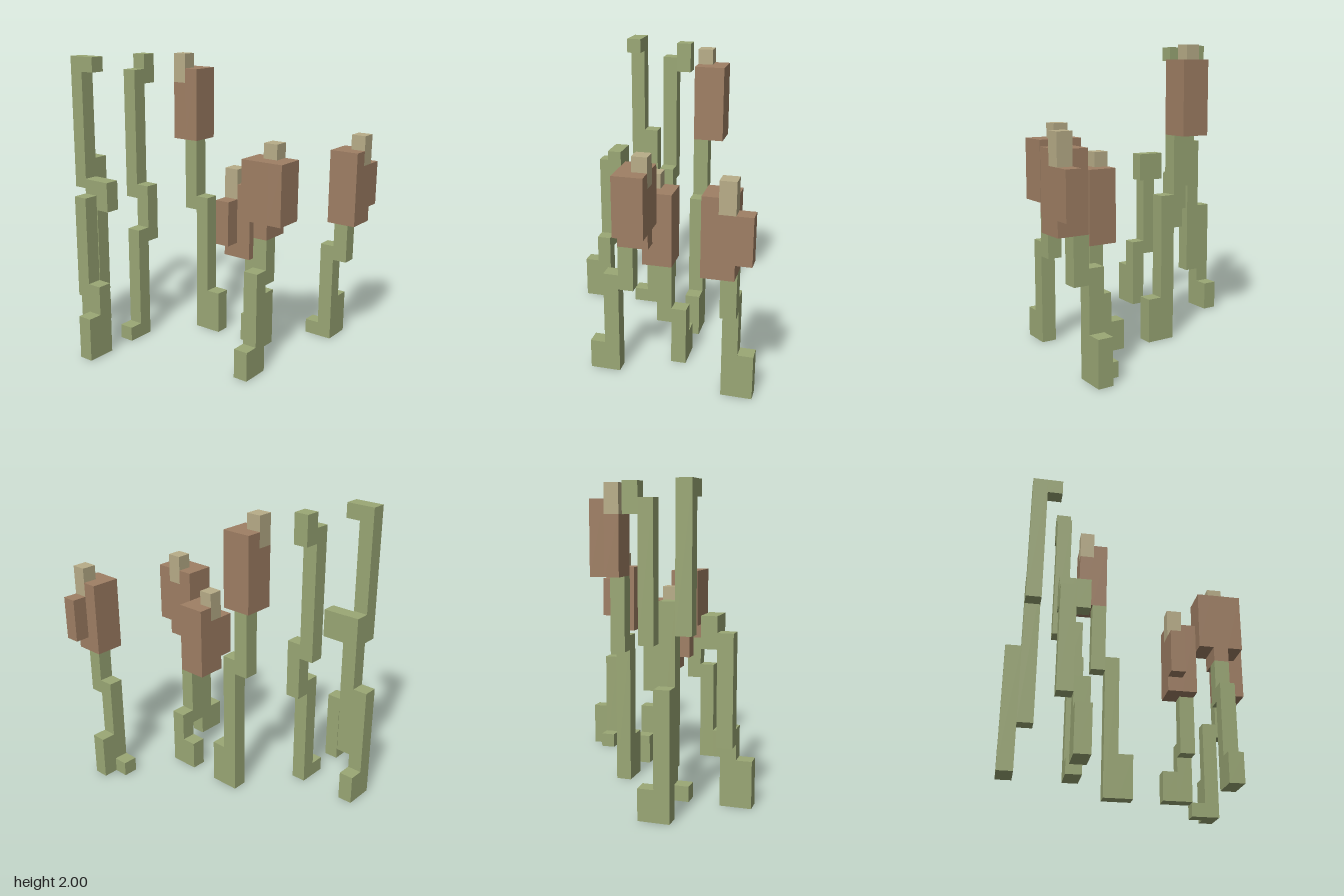
import * as THREE from 'three';

const U = 0.1; // one block
const STEP = { E: [1, 0], W: [-1, 0], N: [0, -1], S: [0, 1] };

export function createModel() {
  const mat = (name, color) => Object.assign(new THREE.MeshStandardMaterial({ color }), { name });
  const green = mat('reedGreen', 0x9aa775);
  const brown = mat('seedHeadBrown', 0x9f7f64);
  const tan = mat('tipTan', 0xb8ad88);

  const model = new THREE.Group();
  model.name = 'cattails';
  const addPlant = (name) => {
    const plant = new THREE.Group();
    plant.name = name;
    model.add(plant);
    return plant;
  };

  // Upright bar on the block grid: x column, z row, bottom, top, columns wide
  const bar = (plant, name, material, x, z, bottom, top, wide = 1) => {
    const mesh = new THREE.Mesh(new THREE.BoxGeometry(wide * U, (top - bottom) * U, U), material);
    mesh.position.set((x + (wide - 1) / 2) * U, (bottom + top) / 2 * U, (z + 0.5) * U);
    mesh.name = name;
    plant.add(mesh);
  };

  // Stem walking over the grid; two bars stand on the ground, later ones overlap the last by one block
  const stem = (plant, x, z, path, tops,
    bottoms = tops.map((top, i) => (i < 2 ? 0 : tops[i - 1] - 1))) => {
    tops.forEach((top, i) => {
      if (i > 0) {
        const [dx, dz] = STEP[path[i - 1]];
        x += dx;
        z += dz;
      }
      bar(plant, 'stem', green, x, z, bottoms[i], top);
    });
  };

  // Seed head two columns wide and five blocks tall, with the tip sunk one block into it
  const head = (plant, x, z, y, rows, tipX, tipZ) => {
    for (let i = x; i < x + 2; i++) {
      for (let k = z; k < z + rows; k++) {
        const atTip = i === tipX && k === tipZ;
        bar(plant, 'seedHead', brown, i, k, y, y + (atTip ? 4 : 5));
      }
    }
    bar(plant, 'tip', tan, tipX, tipZ, y + 4, y + 6);
  };

  // Leaves without a head
  stem(addPlant('bentLeaf'), -7, -5, 'ENES', [3, 5, 11, 12, 12], [0, 0, 4, 10, 10]);
  stem(addPlant('tallHookedLeaf'), -2, -9, 'WSWS', [2, 8, 13, 20, 20], [0, 0, 3, 11, 19]);
  stem(addPlant('tallMiddleLeaf'), -3, -5, 'EENE', [1, 8, 11, 19, 20]);

  // Tallest cattail
  const tall = addPlant('tallCattail');
  stem(tall, 2, -1, 'NN', [3, 10, 14]);
  head(tall, 2, -4, 14, 2, 2, -4);

  // Short cattail with a lobe on its right
  const short = addPlant('shortCattail');
  stem(short, 2, 2, 'SW', [2, 4, 7]);
  head(short, 0, 2, 7, 2, 0, 2);
  bar(short, 'headLobe', brown, -1, 2, 8, 11);

  // Broad cattail with a lobe before and behind
  const broad = addPlant('broadCattail');
  stem(broad, -3, 5, 'EE', [2, 7, 9]);
  head(broad, -1, 5, 9, 1, 0, 5);
  for (const z of [4, 6]) bar(broad, 'headLobe', brown, -1, z, 10, 14, 2);

  // Front cattail with a side foot and a lobe on its left
  const front = addPlant('frontCattail');
  stem(front, 6, 5, 'SS', [1, 7, 9]);
  bar(front, 'foot', green, 7, 6, 0, 3);
  head(front, 5, 7, 9, 2, 6, 8);
  bar(front, 'headLobe', brown, 7, 8, 10, 13);

  return model;
}
